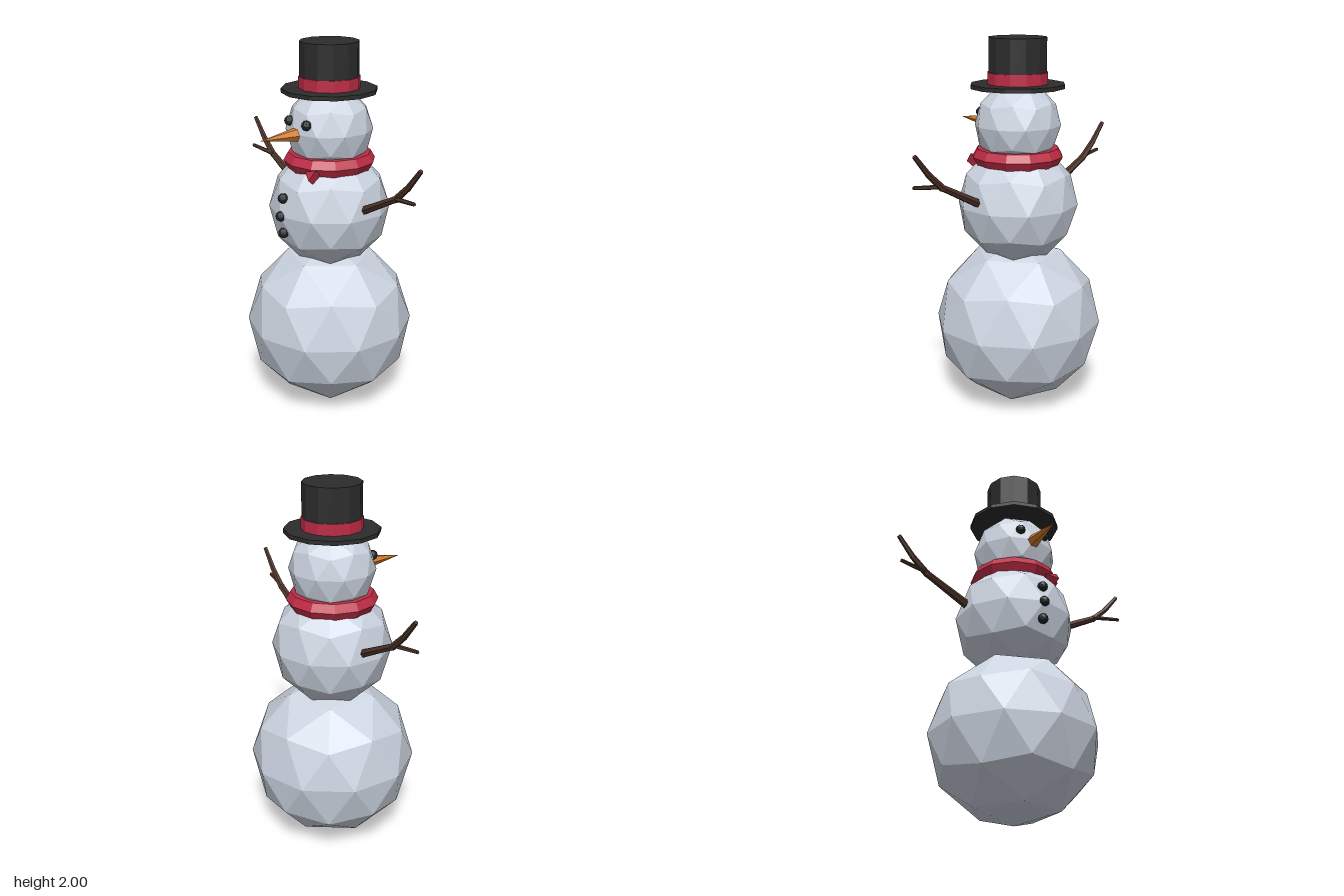
import * as THREE from 'three';

const mat = (name, color) => {
  const m = new THREE.MeshStandardMaterial({ color, flatShading: true });
  m.name = name;
  return m;
};

export function createModel() {
  const snow = mat('snow', 0xccd4e0);
  const felt = mat('black felt', 0x2c2c2c);
  const red = mat('red cloth', 0xbe2c45);
  const carrot = mat('carrot orange', 0xd67f2e);
  const bark = mat('bark brown', 0x4e3429);
  const coal = mat('coal', 0x222427);

  const model = new THREE.Group();
  model.name = 'snowman';

  const add = (name, geometry, material, x = 0, y = 0, z = 0, parent = model) => {
    const mesh = new THREE.Mesh(geometry, material);
    mesh.name = name;
    mesh.position.set(x, y, z);
    parent.add(mesh);
    return mesh;
  };

  // Faceted ball with a corner at the top and bottom
  const ball = (r) =>
    new THREE.IcosahedronGeometry(r, 1).rotateZ(-Math.atan(2 / (1 + Math.sqrt(5))));

  // Straight tapered piece between two points
  const stick = (name, from, to, r0, r1, sides, material, parent) => {
    const a = new THREE.Vector3(...from);
    const b = new THREE.Vector3(...to);
    const dir = b.clone().sub(a);
    const mid = a.clone().add(b).multiplyScalar(0.5);
    const mesh = add(name, new THREE.CylinderGeometry(r1, r0, dir.length(), sides),
      material, mid.x, mid.y, mid.z, parent);
    mesh.quaternion.setFromUnitVectors(new THREE.Vector3(0, 1, 0), dir.normalize());
    return mesh;
  };

  // Snowballs
  add('lowerBody', ball(0.455), snow, 0, 0.455, 0);
  add('upperBody', ball(0.325), snow, 0, 1.12, 0);
  add('head', ball(0.23), snow, 0, 1.545, 0);

  // Top hat
  const hat = new THREE.Group();
  hat.name = 'topHat';
  model.add(hat);
  add('hatBrim', new THREE.CylinderGeometry(0.252, 0.252, 0.022, 12), felt, 0, 1.75, 0, hat);
  add('hatCrown', new THREE.CylinderGeometry(0.156, 0.156, 0.25, 12), felt, 0, 1.875, 0, hat);
  add('hatBand', new THREE.CylinderGeometry(0.162, 0.162, 0.062, 12), red, 0, 1.79, 0, hat);

  // Scarf ring and its pointed end
  add('scarf', new THREE.TorusGeometry(0.195, 0.05, 6, 12).rotateX(Math.PI / 2), red, 0, 1.38, 0);
  stick('scarfEnd', [0.14, 1.34, 0.2], [0.07, 1.36, 0.21], 0.045, 0.002, 4, red, model);

  // Face
  for (const [name, x] of [['leftEye', 0.075], ['rightEye', -0.075]]) {
    add(name, ball(0.027), coal, x, 1.6, 0.203);
  }
  add('nose', new THREE.ConeGeometry(0.04, 0.235, 6).rotateY(Math.PI / 6).rotateX(Math.PI / 2),
    carrot, 0, 1.541, 0.3175);

  // Buttons down the chest
  for (const [y, z] of [[1.216, 0.303], [1.121, 0.318], [1.026, 0.303]]) {
    add('button', ball(0.028), coal, 0, y, z);
  }

  // Stick arms, each with a bent branch and a twig
  for (const [name, s] of [['leftArm', 1], ['rightArm', -1]]) {
    const arm = new THREE.Group();
    arm.name = name;
    model.add(arm);
    stick('armBranch', [s * 0.285, 1.163, 0], [s * 0.54, 1.293, 0], 0.024, 0.018, 6, bark, arm);
    stick('armFork', [s * 0.53, 1.285, 0], [s * 0.622, 1.37, 0], 0.019, 0.016, 6, bark, arm);
    stick('armTip', [s * 0.617, 1.364, 0], [s * 0.707, 1.473, 0], 0.016, 0.012, 6, bark, arm);
    stick('armTwig', [s * 0.525, 1.293, 0.005], [s * 0.697, 1.312, 0.027], 0.013, 0.01, 5, bark, arm);
  }

  return model;
}
